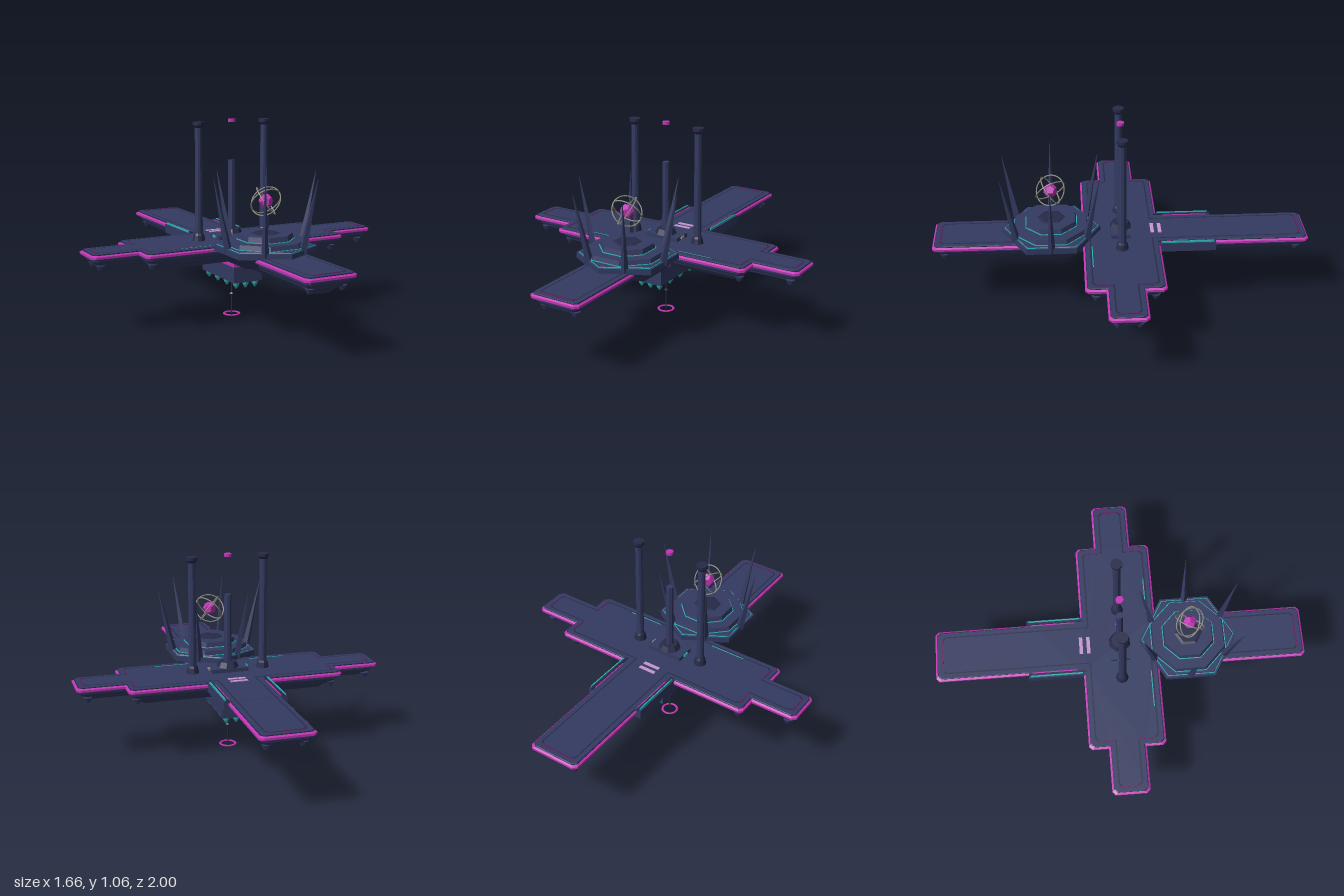
import * as THREE from 'three';

const mat = (name, color) => {
  const m = new THREE.MeshStandardMaterial({ color });
  m.name = name;
  return m;
};

export function createModel() {
  const root = new THREE.Group();
  root.name = 'floatingPlatform';
  const navy = mat('navy', 0x333a61);
  const dark = mat('darkNavy', 0x262a47);
  const magenta = mat('magenta', 0xc034b4);
  const plum = mat('plum', 0x5b1f5e);
  const teal = mat('teal', 0x2cb0b2);
  const pink = mat('palePink', 0xc597d0);
  const grey = mat('grey', 0x8e8e84);

  const add = (name, geo, material, x = 0, y = 0, z = 0, parent = root) => {
    const m = new THREE.Mesh(geo, material);
    m.name = name;
    m.position.set(x, y, z);
    parent.add(m);
    return m;
  };
  const flat = (g) => {
    const f = g.index ? g.toNonIndexed() : g;
    f.computeVertexNormals();
    return f;
  };
  const box = (w, h, d) => new THREE.BoxGeometry(w, h, d);
  // Faceted prism; turn sets where the corners point
  const prism = (rTop, rBottom, h, sides, turn = 0) =>
    flat(new THREE.CylinderGeometry(rTop, rBottom, h, sides).rotateY(turn));

  // Stepped cross outline, inset by d, with cut outer corners
  const cross = (d, outer = true) => {
    const r = 0.018, q = [];
    const convex = (x, y) => q.push([x, y - r], [x - r, y]);
    if (outer) {
      convex(0.83 - d, 0.1 - d);
      q.push([0.58 - d, 0.1 - d]);
    }
    convex(0.58 - d, 0.205 - d);
    q.push([0.142 - d, 0.205 - d]);
    convex(0.142 - d, 1 - d);
    const flip = (sx, sy) => q.map(([x, y]) => new THREE.Vector2(x * sx, y * sy));
    return [...flip(1, 1), ...flip(-1, 1).reverse(), ...flip(-1, -1), ...flip(1, -1).reverse()];
  };
  // Walls through [inset, height] rings, bottom to top
  const loft = (profile, outer) => {
    const rings = profile.map(([d, y]) => cross(d, outer).map((p) => [p.x, y, -p.y]));
    const v = [];
    for (let k = 0; k < rings.length - 1; k++) {
      const a = rings[k], b = rings[k + 1];
      a.forEach((p, i) => {
        const j = (i + 1) % a.length;
        v.push(...p, ...a[j], ...b[j], ...p, ...b[j], ...b[i]);
      });
    }
    const g = new THREE.BufferGeometry();
    g.setAttribute('position', new THREE.Float32BufferAttribute(v, 3));
    g.computeVertexNormals();
    return g;
  };
  const sheet = (d, up, outer) =>
    new THREE.ShapeGeometry(new THREE.Shape(cross(d, outer))).rotateX(up ? -Math.PI / 2 : Math.PI / 2);

  // Cross-shaped deck with a moulded underside
  add('deckUnderside', loft([[0.07, 0.35], [0.045, 0.363], [0.04, 0.376], [0.03, 0.376],
    [0.022, 0.39], [0.02, 0.4], [0.005, 0.403], [0.004, 0.41]]), navy);
  add('deckBottom', sheet(0.07, false), navy, 0, 0.35);
  add('keel', loft([[0.085, 0.33], [0.068, 0.352]], false), navy);
  add('keelBottom', sheet(0.085, false, false), navy, 0, 0.33);
  add('deckTrim', loft([[0.006, 0.409], [0, 0.41], [0, 0.421], [0.01, 0.427]]), magenta);
  add('deckRim', loft([[0.01, 0.427], [0.01, 0.431], [0.013, 0.433]]), dark);
  add('deckTop', sheet(0.013, true), navy, 0, 0.433);

  // Inlaid border line on the deck
  const border = new THREE.Shape(cross(0.036));
  border.holes.push(new THREE.Path(cross(0.043)));
  add('deckBorder', new THREE.ShapeGeometry(border).rotateX(-Math.PI / 2), dark, 0, 0.4345);

  // Plum lines across the arm ends and studs beneath them
  for (const s of [-1, 1]) {
    add('endLine', box(0.19, 0.003, 0.008), plum, 0, 0.434, s * 0.96);
    add('endLine', box(0.008, 0.003, 0.11), plum, s * 0.79, 0.434, 0);
    for (const t of [-1, 1]) {
      add('endLine', box(0.008, 0.003, 0.09), plum, s * 0.541, 0.434, t * 0.11);
      for (const [x, z] of [[0.09, 0.94], [0.77, 0.055], [0.53, 0.15]]) {
        add('stud', prism(0.024, 0.013, 0.024, 8), navy, s * x, 0.356, t * z);
      }
    }
  }

  // Widened walkway on the rear arm with teal lights set in from its edge
  add('rearWalkway', box(0.33, 0.049, 0.31), navy, 0, 0.4095, -0.345);
  for (const s of [-1, 1]) {
    add('walkwayKerb', box(0.012, 0.006, 0.31), dark, s * 0.146, 0.436, -0.345);
    add('walkwayLight', box(0.006, 0.01, 0.28), teal, s * 0.156, 0.4385, -0.35);
    add('deckLight', box(0.2, 0.002, 0.005), teal, s * 0.27, 0.4335, 0.158);
    add('rearLine', box(0.006, 0.004, 0.24), magenta, s * 0.136, 0.4345, -0.36);
  }
  for (const z of [-0.21, -0.17]) add('deckStripe', box(0.095, 0.004, 0.019), pink, 0, 0.436, z);

  // Tiered dais on the front arm
  const dais = new THREE.Group();
  dais.name = 'dais';
  dais.position.z = 0.37;
  root.add(dais);
  const tier = (name, rT, rB, y0, y1, sides, turn, m) =>
    add(name, prism(rT, rB, y1 - y0, sides, turn), m, 0, (y0 + y1) / 2, 0, dais);
  const eighth = Math.PI / 8;
  tier('daisSkirt', 0.25, 0.19, 0.37, 0.43, 6, 0, navy);
  tier('daisBase', 0.262, 0.262, 0.428, 0.458, 6, 0, navy);
  tier('daisBaseLight', 0.25, 0.25, 0.458, 0.461, 6, 0, teal);
  tier('daisBaseTop', 0.244, 0.246, 0.461, 0.464, 6, 0, navy);
  tier('daisMiddleLight', 0.217, 0.217, 0.464, 0.467, 8, eighth, teal);
  tier('daisMiddle', 0.205, 0.212, 0.467, 0.49, 8, eighth, navy);
  tier('daisTopLight', 0.149, 0.149, 0.49, 0.494, 8, eighth, teal);
  tier('daisTop', 0.137, 0.144, 0.494, 0.52, 8, eighth, navy);
  tier('daisSocket', 0.06, 0.075, 0.52, 0.524, 6, 0, dark);

  // Six blades leaning outwards
  const up = new THREE.Vector3(0, 1, 0);
  for (let i = 0; i < 6; i++) {
    const a = (i * Math.PI) / 3;
    const at = (r, y) => new THREE.Vector3(Math.cos(a) * r, y, Math.sin(a) * r);
    const base = at(0.212, 0.44), tip = at(0.294, 0.815);
    const dir = tip.clone().sub(base);
    const geo = new THREE.CylinderGeometry(0.0015, 0.023, dir.length(), 4).scale(1, 1, 0.85);
    const blade = add('blade', flat(geo), navy, 0, 0, 0, dais);
    blade.position.copy(base).add(tip).multiplyScalar(0.5);
    blade.quaternion.setFromUnitVectors(up, dir.normalize())
      .multiply(new THREE.Quaternion().setFromAxisAngle(up, -a));
  }

  // Floating core inside three crossed rings
  add('core', flat(new THREE.DodecahedronGeometry(0.037)), magenta, 0, 0.683, 0, dais);
  for (let i = 0; i < 3; i++) {
    const ring = add('coreRing', new THREE.TorusGeometry(0.081, 0.0035, 6, 40), grey, 0, 0.683, 0, dais);
    ring.rotation.set(0.615, (i * Math.PI * 2) / 3, 0, 'YXZ');
  }

  // Pair of tall columns
  for (const s of [-1, 1]) {
    const c = new THREE.Group();
    c.name = 'column';
    c.position.x = s * 0.195;
    root.add(c);
    add('columnShaft', prism(0.019, 0.021, 0.6, 10), navy, 0, 0.745, 0, c);
    add('columnFoot', prism(0.028, 0.034, 0.03, 10), dark, 0, 0.447, 0, c);
    add('columnCollar', prism(0.022, 0.028, 0.012, 10), dark, 0, 0.468, 0, c);
    add('columnNeck', prism(0.03, 0.02, 0.015, 10), dark, 0, 1.037, 0, c);
    add('columnCap', prism(0.03, 0.03, 0.016, 10), dark, 0, 1.052, 0, c);
  }

  // Central pillar on its plinth with a hovering gem
  add('plinth', box(0.2, 0.022, 0.105), navy, 0, 0.443, 0);
  add('plinthBlock', prism(0.045, 0.06, 0.03, 8, eighth), dark, 0, 0.468, 0);
  add('pillar', prism(0.019, 0.021, 0.37, 8, eighth), navy, 0, 0.665, 0);
  add('plinthLight', box(0.008, 0.012, 0.03), teal, -0.104, 0.446, 0);
  add('plinthLatch', box(0.008, 0.012, 0.03), grey, 0.104, 0.446, 0);
  add('hoveringGem', prism(0.02, 0.02, 0.016, 10), magenta, 0, 1.06, 0);

  // Hanging engine block
  add('engineBand', box(0.168, 0.042, 0.372), magenta, 0, 0.331, 0);
  add('engineBlock', box(0.166, 0.085, 0.37), navy, 0, 0.2675, 0);

  // Staggered rows of crystals hanging from the block
  for (let j = 0; j < 7; j++) {
    for (const x of j % 2 ? [-0.03, 0.03] : [-0.056, 0, 0.056]) {
      const h = j % 2 ? 0.03 : 0.036, z = (j - 3) * 0.052;
      add('crystal', prism(0.02, 0.016, h * 0.5, 6, j), teal, x, 0.225 - h * 0.25, z);
      add('crystalTip', prism(0.016, 0.004, h * 0.5, 6, j), teal, x, 0.225 - h * 0.75, z);
    }
  }

  // Antenna below
  add('antennaRod', prism(0.004, 0.003, 0.22, 6), dark, 0, 0.12, 0);
  add('antennaBead', flat(new THREE.OctahedronGeometry(0.013, 0)), dark, 0, 0.12, 0);
  add('antennaRing', new THREE.TorusGeometry(0.041, 0.007, 6, 28).rotateX(Math.PI / 2).scale(1, 0.6, 1), magenta, 0, 0.01, 0);

  return root;
}
